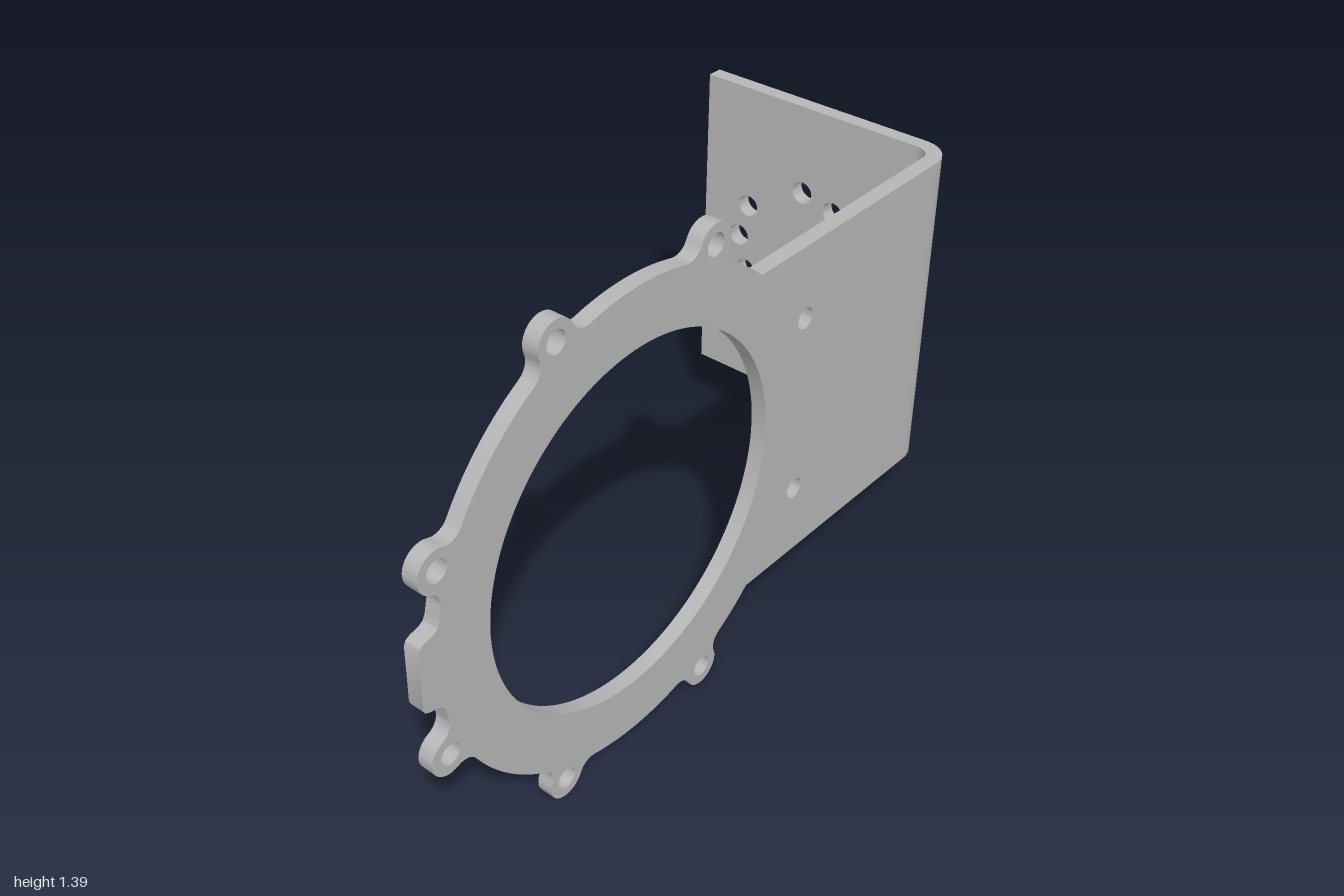
import * as THREE from 'three';
import { toCreasedNormals } from 'three/addons/utils/BufferGeometryUtils.js';

const T = 0.044;      // sheet thickness
const H = 0.479;      // half height of the bent sheet
const BEND = 0.09;    // outer bend radius
const XO = 0.3925;    // outer face of the side plate
const ZC = 0.292;     // ring centre along z
const RING = 0.656;   // ring outer radius
const LUG_D = 0.693, LUG_R = 0.056, FILLET = 0.045;

// Appends an arc to a point list, skipping coincident points.
function arc(pts, cx, cy, r, a0, a1, n) {
  for (let i = 0; i <= n; i++) {
    const a = a0 + (a1 - a0) * i / n;
    const p = new THREE.Vector2(cx + r * Math.cos(a), cy + r * Math.sin(a));
    if (!pts.length || pts[pts.length - 1].distanceTo(p) > 1e-4) pts.push(p);
  }
}

function hole(shape, x, y, r, n = 28) {
  shape.holes.push(new THREE.Path().absarc(x, y, r, 0, Math.PI * 2, true));
  const pts = shape.holes.pop().getPoints(n).slice(0, -1);
  shape.holes.push(new THREE.Path(pts));
}

function extrude(shape, depth) {
  const g = new THREE.ExtrudeGeometry(shape, { depth, bevelEnabled: false, curveSegments: 24 });
  return toCreasedNormals(g, 0.45);
}

// Ring outline with filleted lugs, a front tab and the sheet running to the bend.
function sidePlateShape() {
  const rad = THREE.MathUtils.degToRad;
  const rf = RING + FILLET;
  const half = Math.acos((rf * rf + LUG_D * LUG_D - (LUG_R + FILLET) ** 2) / (2 * rf * LUG_D));
  // Fillet sweep, worked out for a lug pointing along angle 0
  const fx = rf * Math.cos(half), fy = -rf * Math.sin(half);
  const in0 = Math.PI - half;
  const in1 = Math.atan2(-fy, LUG_D - fx);
  const pts = [];
  const end = -1 + BEND - ZC;
  const join = Math.PI - Math.asin(H / RING);
  pts.push(new THREE.Vector2(end, -H));
  let at = -join;

  const lug = (deg) => {
    const t = rad(deg);
    arc(pts, 0, 0, RING, at, t - half, 14);
    arc(pts, rf * Math.cos(t - half), rf * Math.sin(t - half), FILLET, t + in0, t + in1, 10);
    arc(pts, LUG_D * Math.cos(t), LUG_D * Math.sin(t), LUG_R, t + in1 - Math.PI, t - in1 + Math.PI, 22);
    arc(pts, rf * Math.cos(t + half), rf * Math.sin(t + half), FILLET, t - in1, t - in0, 10);
    at = t + half;
  };

  [-112.5, -67.5, -22.5].forEach(lug);
  // Front tab with a flat face
  const tab = [[0.643, 0.129], [0.65, 0.113], [0.665, 0.104], [0.69, 0.099], [0.703, 0.092], [0.708, 0.08]];
  arc(pts, 0, 0, RING, at, -Math.atan2(0.129, 0.643), 3);
  tab.slice(1).forEach(([x, y]) => pts.push(new THREE.Vector2(x, -y)));
  tab.slice(1).reverse().forEach(([x, y]) => pts.push(new THREE.Vector2(x, y)));
  at = Math.atan2(0.129, 0.643);
  [22.5, 67.5, 112.5].forEach(lug);
  arc(pts, 0, 0, RING, at, join, 8);
  pts.push(new THREE.Vector2(end, H));

  const shape = new THREE.Shape(pts);
  hole(shape, 0, 0, 0.497, 96);
  for (const deg of [-112.5, -67.5, -22.5, 22.5, 67.5, 112.5])
    hole(shape, LUG_D * Math.cos(rad(deg)), LUG_D * Math.sin(rad(deg)), 0.03);
  for (const s of [-1, 1]) hole(shape, -0.35 - ZC, s * 0.266, 0.03);
  return shape;
}

// Rectangular flange with a broken circle of holes.
function backPlateShape() {
  const x0 = -0.399, x1 = XO - BEND;
  const shape = new THREE.Shape([
    new THREE.Vector2(x0, -H), new THREE.Vector2(x1, -H),
    new THREE.Vector2(x1, H), new THREE.Vector2(x0, H)]);
  for (const deg of [-90, -60, -30, 30, 60, 90, 150, 180, 210]) {
    const a = THREE.MathUtils.degToRad(deg);
    hole(shape, -0.056 + 0.215 * Math.cos(a), 0.215 * Math.sin(a), 0.033);
  }
  return shape;
}

// Quarter ring joining the two plates.
function bendShape() {
  const pts = [];
  const cx = XO - BEND, cy = 1 - BEND;
  arc(pts, cx, cy, BEND, 0, Math.PI / 2, 16);
  arc(pts, cx, cy, BEND - T, Math.PI / 2, 0, 16);
  return new THREE.Shape(pts);
}

export function createModel() {
  const metal = new THREE.MeshStandardMaterial({ color: 0xb5b5b5 });
  metal.name = 'grey metal';
  const bracket = new THREE.Group();
  bracket.name = 'bracket';
  const add = (name, geometry) => {
    const mesh = new THREE.Mesh(geometry, metal);
    mesh.name = name;
    bracket.add(mesh);
    return mesh;
  };

  const side = add('ringSidePlate', extrude(sidePlateShape(), T).rotateY(-Math.PI / 2));
  side.position.set(XO, 0, ZC);

  const back = add('backPlate', extrude(backPlateShape(), T));
  back.position.z = -1;

  const bend = add('bend', extrude(bendShape(), 2 * H).rotateX(-Math.PI / 2));
  bend.position.y = -H;

  // The whole bracket leans very slightly
  bracket.position.y = 0.697;
  bracket.rotation.z = 0.0107;

  const model = new THREE.Group();
  model.name = 'mountingBracket';
  model.add(bracket);
  return model;
}
